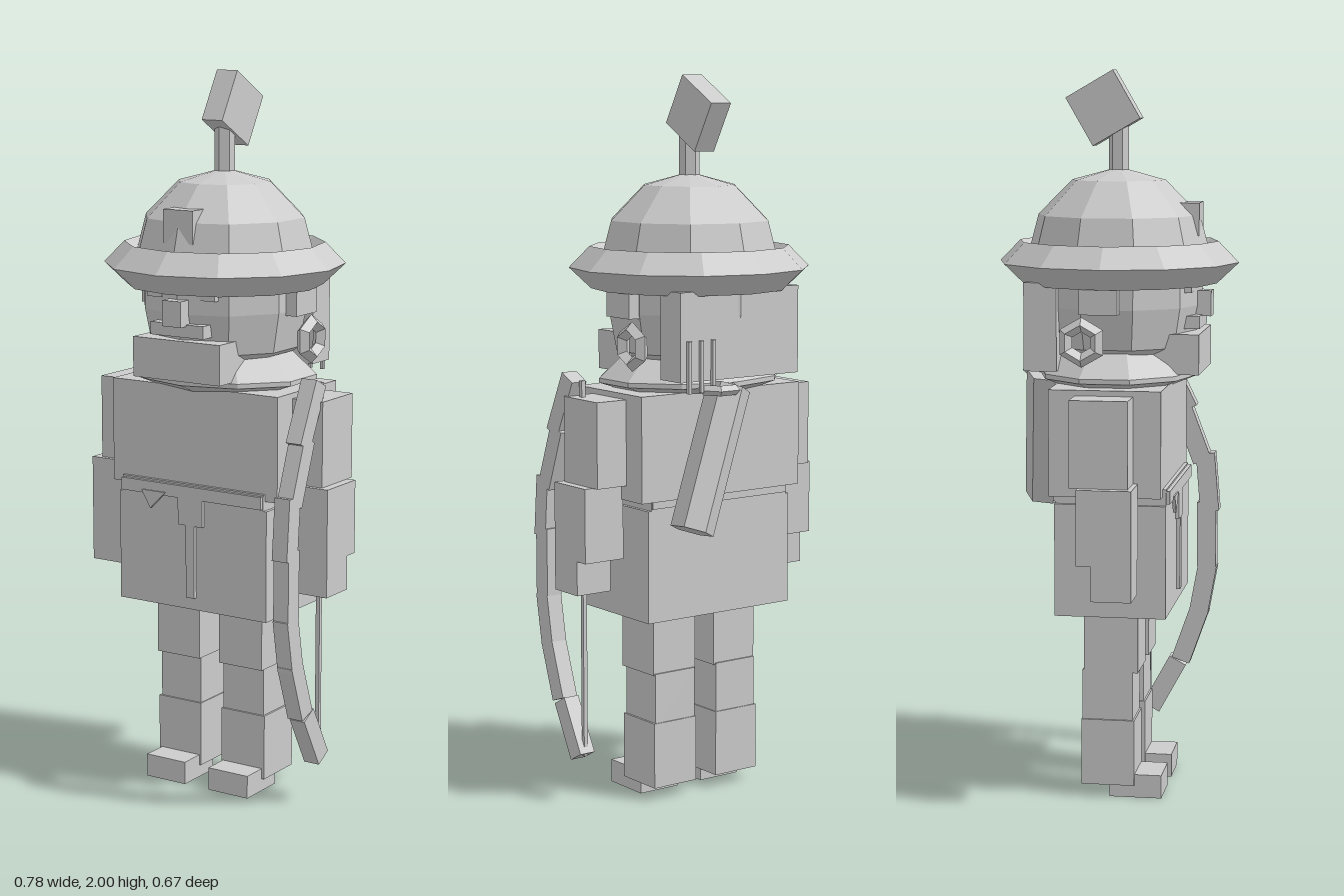
import * as THREE from 'three';

export function createModel() {
  const root = new THREE.Group();
  const grey = new THREE.MeshStandardMaterial({ color: 0xcccccc, flatShading: true, side: THREE.DoubleSide });
  grey.name = 'plain grey';

  const add = (name, geo, x = 0, y = 0, z = 0) => {
    const m = new THREE.Mesh(geo, grey);
    m.name = name;
    m.position.set(x, y, z);
    root.add(m);
    return m;
  };
  // box given by its limits on each axis
  const box = (name, x0, x1, y0, y1, z0, z1) =>
    add(name, new THREE.BoxGeometry(x1 - x0, y1 - y0, z1 - z0), (x0 + x1) / 2, (y0 + y1) / 2, (z0 + z1) / 2);
  const lathe = (name, pts, sides) =>
    add(name, new THREE.LatheGeometry(pts.map(p => new THREE.Vector2(...p)), sides));

  // helmet: dome, diamond-section brim, badge, spike and tilted block
  lathe('helmetDome', [[0.26, 1.475], [0.225, 1.605], [0.13, 1.70], [0, 1.735]], 10);
  lathe('helmetBrim', [[0.22, 1.476], [0.272, 1.418], [0.333, 1.476], [0.276, 1.534], [0.22, 1.476]], 12);
  box('helmetBadge', -0.047, 0.047, 1.55, 1.64, 0.17, 0.228);
  add('helmetSpike', new THREE.CylinderGeometry(0.028, 0.028, 0.15, 6), 0, 1.79, 0);
  const crest = add('helmetCrest', new THREE.BoxGeometry(0.066, 0.151, 0.151), 0, 1.895, -0.04);
  crest.rotation.x = -Math.PI / 6;

  // head and face
  lathe('head', [[0, 1.15], [0.125, 1.18], [0.21, 1.25], [0.232, 1.36], [0.232, 1.5]], 10);
  box('nose', -0.03, 0.03, 1.33, 1.4, 0.18, 0.26);
  box('moustache', -0.085, 0.085, 1.3, 1.335, 0.17, 0.235);
  box('beard', -0.14, 0.14, 1.18, 1.29, 0.1, 0.24);
  box('backHair', -0.2, 0.2, 1.19, 1.43, -0.23, -0.14);
  for (const s of [-1, 1]) {
    box('eye', s * 0.085 - 0.024, s * 0.085 + 0.024, 1.4, 1.415, 0.17, 0.215);
    box('sideHair', s * 0.228 - 0.026, s * 0.228 + 0.026, 1.35, 1.43, -0.07, 0.035);
    const ear = add('ear', new THREE.TorusGeometry(0.048, 0.02, 4, 6), s * 0.24, 1.275, -0.065);
    ear.rotation.set(0, Math.PI / 2, Math.PI / 6, 'YXZ');
  }

  // collar
  const collar = lathe('collar', [[0.09, 1.105], [0.27, 1.165], [0.27, 1.178], [0.2, 1.24]], 10);
  collar.scale.z = 0.82;

  // tunic, belt and sash
  box('chest', -0.27, 0.27, 0.86, 1.15, -0.15, 0.155);
  box('waist', -0.232, 0.232, 0.8, 0.88, -0.14, 0.165);
  box('skirt', -0.242, 0.242, 0.525, 0.835, -0.14, 0.165);
  box('belt', -0.23, 0.23, 0.84, 0.875, -0.145, 0.175);
  box('sashKnot', -0.04, 0.04, 0.765, 0.84, 0.16, 0.175);
  box('sashEnd', -0.014, 0.014, 0.56, 0.77, 0.16, 0.175);
  const tip = new THREE.Shape([[-0.16, 0.85], [-0.13, 0.8], [-0.08, 0.85]].map(p => new THREE.Vector2(...p)));
  add('sashFold', new THREE.ExtrudeGeometry(tip, { depth: 0.009, bevelEnabled: false }), 0, 0, 0.17);

  // arms and legs, mirrored
  const pair = (name, x0, x1, ...rest) => {
    box(name, x0, x1, ...rest);
    box(name, -x1, -x0, ...rest);
  };
  pair('upperArm', 0.262, 0.365, 0.9, 1.135, -0.078, 0.08);
  pair('forearm', 0.265, 0.39, 0.695, 0.9, -0.055, 0.093);
  pair('hand', 0.28, 0.39, 0.6, 0.695, -0.015, 0.093);
  pair('thigh', 0.033, 0.175, 0.355, 0.53, -0.07, 0.08);
  pair('shin', 0.038, 0.172, 0.2, 0.36, -0.075, 0.065);
  pair('boot', 0.035, 0.178, 0.035, 0.22, -0.078, 0.07);
  pair('shoe', 0.04, 0.17, 0, 0.065, 0, 0.145);

  // bow: tilted limbs [z, y, length, tilt] and a string
  const limbs = [
    [0.115, 1.105, 0.18, -0.45], [0.165, 0.955, 0.18, -0.36], [0.212, 0.81, 0.17, -0.08],
    [0.21, 0.655, 0.19, 0], [0.2, 0.49, 0.15, 0.18], [0.163, 0.354, 0.17, 0.34], [0.087, 0.2, 0.165, 0.5],
  ];
  for (const [z, y, len, tilt] of limbs)
    add('bowLimb', new THREE.BoxGeometry(0.047, len, 0.055), 0.334, y, z).rotation.x = tilt;
  box('bowString', 0.327, 0.339, 0.13, 1.18, 0.032, 0.044);

  // quiver slanted across the back, with rim and arrows
  const top = new THREE.Vector3(0.02, 1.165, -0.205), end = new THREE.Vector3(0.17, 0.79, -0.24);
  const quiver = add('quiver', new THREE.CylinderGeometry(0.06, 0.06, top.distanceTo(end), 6));
  quiver.position.copy(top).add(end).multiplyScalar(0.5);
  quiver.quaternion.setFromUnitVectors(new THREE.Vector3(0, 1, 0), top.clone().sub(end).normalize());
  const rim = add('quiverRim', new THREE.TorusGeometry(0.05, 0.014, 4, 6), 0.07, 1.165, -0.225);
  rim.rotation.x = Math.PI / 2;
  for (let i = 0; i < 3; i++)
    box('arrow', 0.09 + i * 0.04, 0.1 + i * 0.04, 1.16, 1.3, -0.24, -0.23);

  return root;
}
